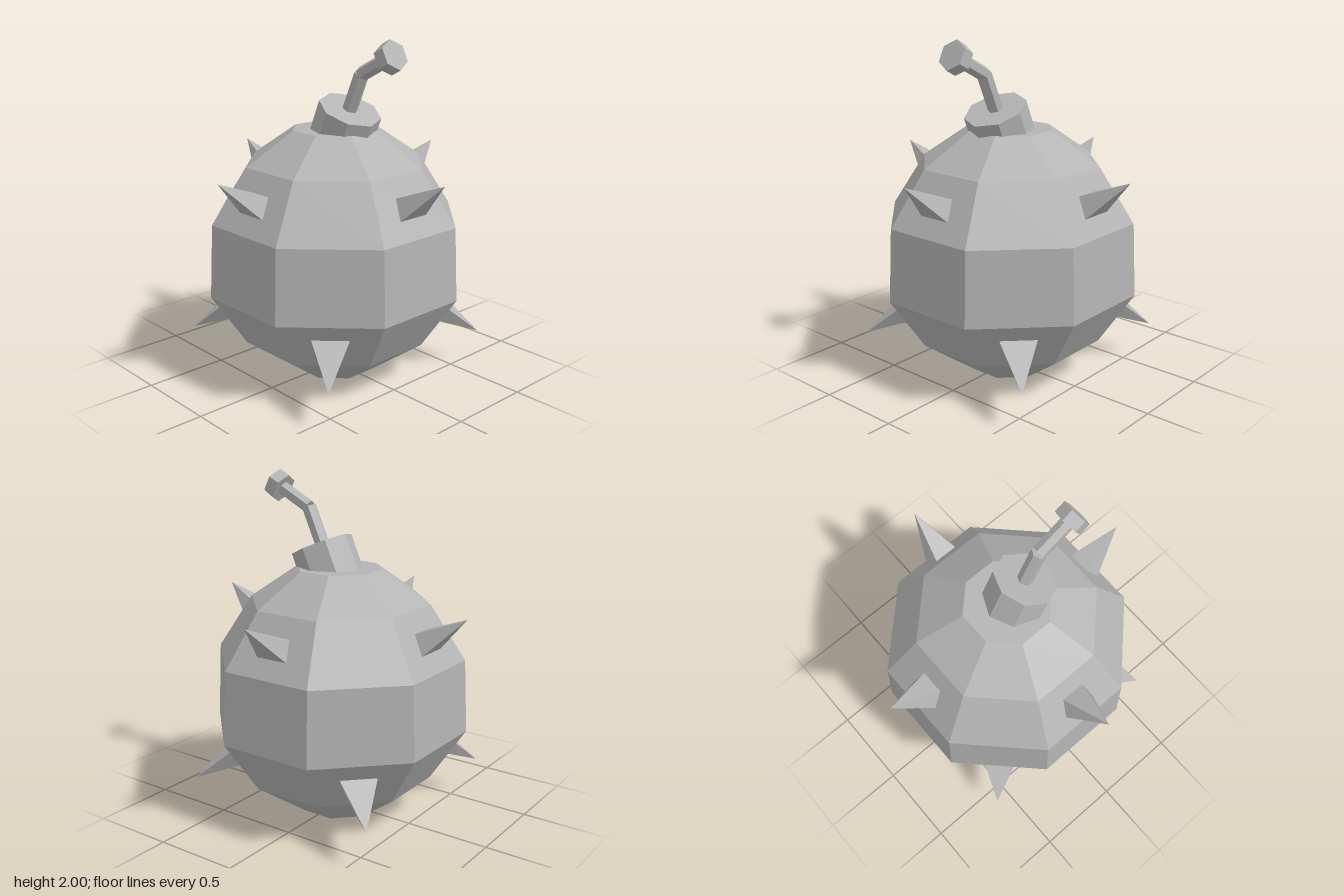
import * as THREE from 'three';

const metal = new THREE.MeshStandardMaterial({ color: 0xb4b4b4, flatShading: true });
metal.name = 'grey metal';

function part(geometry, name) {
  const flat = geometry.index ? geometry.toNonIndexed() : geometry;
  flat.computeVertexNormals();
  const mesh = new THREE.Mesh(flat, metal);
  mesh.name = name;
  return mesh;
}

// Prism between two points in the x-y plane, with a corner in that plane
function rod(name, from, to, radius, sides) {
  const a = new THREE.Vector3(...from, 0), b = new THREE.Vector3(...to, 0);
  const dir = b.clone().sub(a);
  const start = sides === 6 ? Math.PI / 6 : 0;
  const mesh = part(new THREE.CylinderGeometry(radius, radius, dir.length(), sides, 1, false, start), name);
  mesh.position.copy(a).add(b).multiplyScalar(0.5);
  mesh.rotation.z = Math.atan2(dir.y, dir.x) - Math.PI / 2;
  return mesh;
}

// Four-sided spike pointing along +z: base rows are [half width, y, z], tip is [y, z]
function spike(name, low, high, tip, angle) {
  const c = [
    [-low[0], low[1], low[2]], [low[0], low[1], low[2]],
    [high[0], high[1], high[2]], [-high[0], high[1], high[2]],
  ];
  const t = [0, ...tip];
  const corners = [];
  for (let i = 0; i < 4; i++) corners.push(c[i], c[(i + 1) % 4], t);
  corners.push(c[0], c[2], c[1], c[0], c[3], c[2]);
  const geometry = new THREE.BufferGeometry();
  geometry.setAttribute('position', new THREE.Float32BufferAttribute(corners.flat(), 3));
  const mesh = part(geometry, name);
  mesh.rotation.y = angle;
  return mesh;
}

export function createModel() {
  const model = new THREE.Group();
  model.name = 'spikedBomb';

  // Eight-sided shell; the profile gives the distance to the flats
  const profile = [[0, 0], [0.218, 0], [0.51, 0.22], [0.7, 0.53], [0.68, 0.96], [0.49, 1.275], [0.235, 1.465], [0, 1.465]];
  const points = profile.map(([r, y]) => new THREE.Vector2(r / Math.cos(Math.PI / 8), y));
  model.add(part(new THREE.LatheGeometry(points, 8, Math.PI / 8), 'shell'));

  // Upper spikes on the main faces, lower spikes on the diagonal faces
  for (let i = 0; i < 4; i++) {
    const angle = i * Math.PI / 2;
    model.add(spike('upperSpike', [0.1, 1.06, 0.618], [0.07, 1.17, 0.551], [1.278, 0.832], angle));
    model.add(spike('lowerSpike', [0.075, 0.325, 0.572], [0.105, 0.43, 0.637], [0.225, 0.862], angle + Math.PI / 4));
  }

  // Tilted collar and bent fuse
  model.add(rod('collar', [0.015, 1.34], [0.125, 1.588], 0.182, 8));
  model.add(rod('lowerFuse', [0.1, 1.54], [0.214, 1.796], 0.044, 6));
  model.add(rod('upperFuse', [0.214, 1.794], [0.41, 1.895], 0.042, 6));
  model.add(rod('fuseTip', [0.4, 1.888], [0.463, 1.921], 0.0885, 6));
  return model;
}
